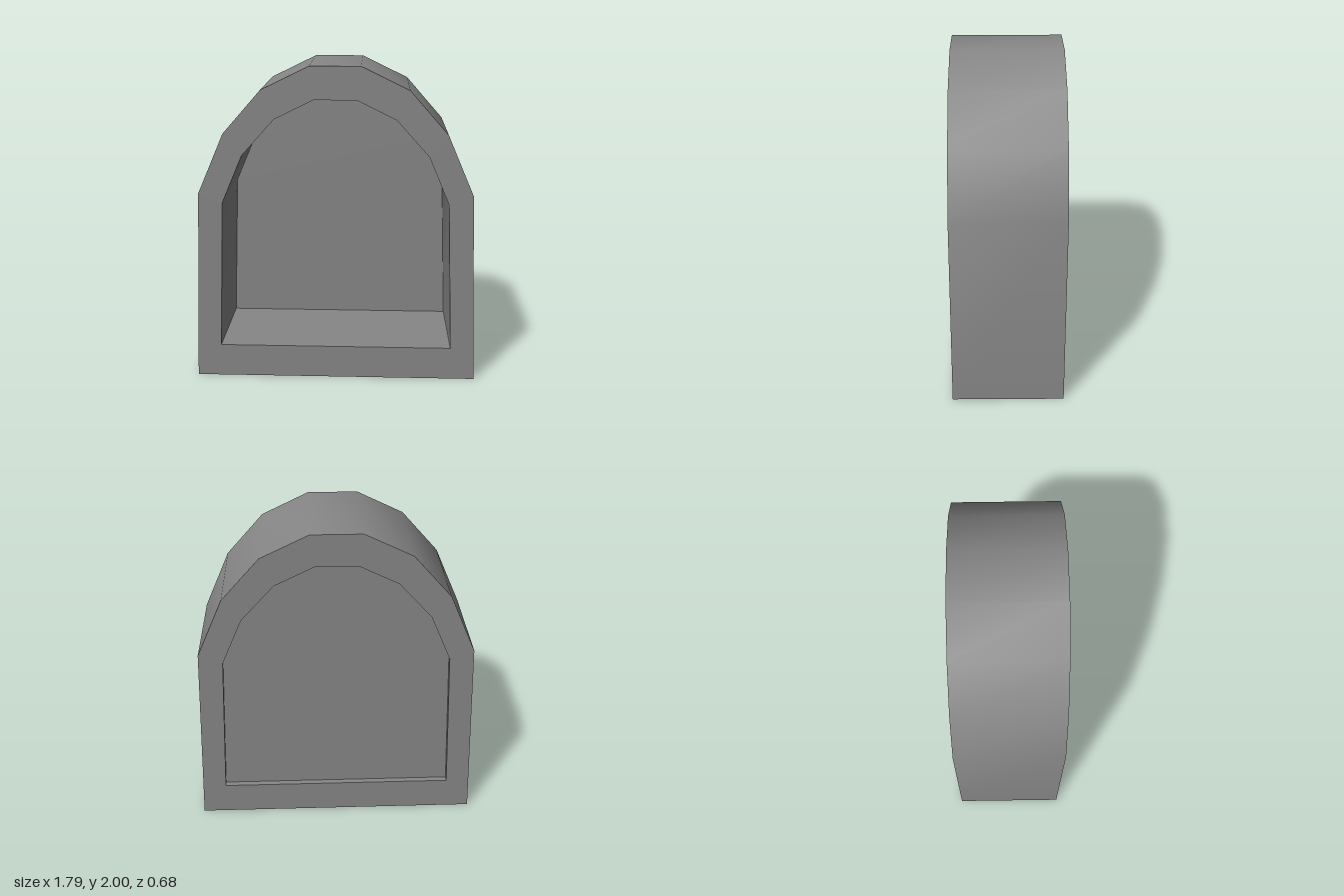
import * as THREE from 'three';
import { toCreasedNormals } from 'three/addons/utils/BufferGeometryUtils.js';

const DEPTH = 0.684;
const PANEL_Z = -0.305;

// Right halves of the arch outlines, from the foot up to the crown
const OUTER = [[0.893, 0], [0.848, 1.215], [0.685, 1.59], [0.45, 1.857], [0.156, 2]];
const INNER = [[0.737, 0.21], [0.7, 1.157], [0.572, 1.456], [0.37, 1.68], [0.13, 1.798]];

// Mirror a half outline into a closed counter-clockwise loop
function archPoints(half) {
  const mirrored = half.map(([x, y]) => [-x, y]).reverse();
  return [...half, ...mirrored].map(([x, y]) => new THREE.Vector2(x, y));
}

export function createModel() {
  const model = new THREE.Group();
  model.name = 'archedNiche';
  const material = new THREE.MeshStandardMaterial({ color: 0x878787 });

  // Thick arched frame with an opening, smooth around the arch, sharp at the rims
  const frameShape = new THREE.Shape(archPoints(OUTER));
  frameShape.holes.push(new THREE.Path(archPoints(INNER)));
  const frameGeometry = new THREE.ExtrudeGeometry(frameShape, { depth: DEPTH, bevelEnabled: false });
  frameGeometry.translate(0, 0, -DEPTH / 2);
  const frame = new THREE.Mesh(toCreasedNormals(frameGeometry, 0.6), material);
  frame.name = 'archFrame';
  model.add(frame);

  // Thin panel closing the opening, slightly recessed from the back
  const panelMaterial = material.clone();
  panelMaterial.side = THREE.DoubleSide;
  const panel = new THREE.Mesh(new THREE.ShapeGeometry(new THREE.Shape(archPoints(INNER))), panelMaterial);
  panel.name = 'backPanel';
  panel.position.z = PANEL_Z;
  model.add(panel);

  return model;
}
